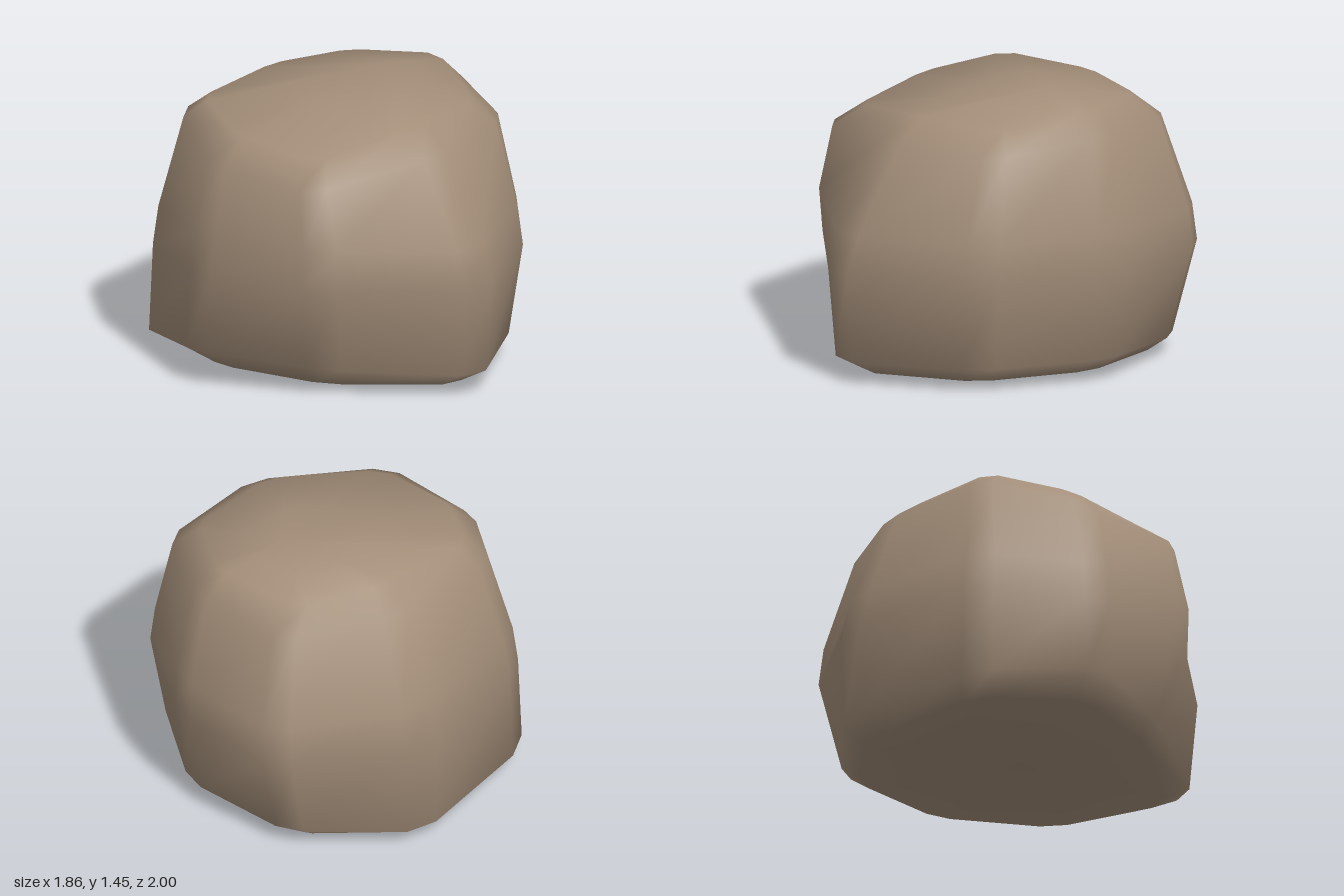
import * as THREE from 'three';

// Eight [x, y, z] corners per level, from the back round by +x to the front and -x
const LEVELS = [
  [[.05, 0, -.9], [.56, .02, -.64], [.75, .04, -.08], [.55, .04, .5], [.02, .03, .84], [-.52, .05, .43], [-.78, .08, -.08], [-.6, .05, -.62]],
  [[.05, .08, -1.03], [.66, .1, -.69], [.88, .13, -.09], [.64, .13, .56], [.03, .12, 1.02], [-.58, .15, .47], [-.96, .2, -.09], [-.75, .12, -.71]],
  [[.04, .6, -1.03], [.79, .6, -.77], [.945, .6, -.09], [.715, .6, .595], [.03, .6, 1.055], [-.68, .6, .55], [-.94, .6, -.09], [-.74, .6, -.69]],
  [[.04, .8, -.97], [.78, .8, -.75], [.935, .8, -.09], [.7, .8, .57], [.03, .78, .98], [-.7, .83, .57], [-.91, .8, -.09], [-.72, .8, -.67]],
  [[.05, 1.28, -.77], [.66, 1.27, -.64], [.84, 1.3, -.1], [.65, 1.23, .48], [.03, 1.22, .69], [-.69, 1.13, .52], [-.82, 1.16, -.1], [-.6, 1.28, -.6]],
  [[.05, 1.385, -.62], [.51, 1.375, -.55], [.72, 1.42, -.1], [.53, 1.33, .39], [.03, 1.34, .52], [-.57, 1.24, .39], [-.67, 1.3, -.1], [-.52, 1.365, -.51]],
];
const BOTTOM = new THREE.Vector3(0, .04, 0);
const TOP = new THREE.Vector3(.33, 1.45, -.1);
const CENTRE = new THREE.Vector3(0, .65, 0);

// Cut every corner of a level into two points
function chamfer(level, cut = .12) {
  const p = level.map(c => new THREE.Vector3(...c));
  const n = p.length;
  return p.flatMap((v, i) => [
    v.clone().lerp(p[(i + n - 1) % n], cut),
    v.clone().lerp(p[(i + 1) % n], cut),
  ]);
}

function rockGeometry() {
  const rings = LEVELS.map(l => chamfer(l));
  // Extra ring part-way up the crown
  rings.push(rings[rings.length - 1].map(v => v.clone().lerp(TOP, .5)));
  const n = rings[0].length;
  const points = [...rings.flat(), BOTTOM, TOP];
  const bottom = points.length - 2, top = points.length - 1;
  const last = (rings.length - 1) * n;
  const index = [];
  for (let j = 0; j < n; j++) {
    const k = (j + 1) % n;
    for (let r = 0; r < last; r += n) {
      index.push(r + j, r + n + j, r + k, r + k, r + n + j, r + n + k);
    }
    index.push(bottom, j, k, top, last + k, last + j);
  }
  const geometry = new THREE.BufferGeometry().setFromPoints(points);
  geometry.setIndex(index);
  geometry.computeVertexNormals();
  // Lean the normals outward from the centre for a softly worn surface
  const normal = geometry.attributes.normal;
  points.forEach((p, i) => {
    const out = p.clone().sub(CENTRE).normalize();
    const v = new THREE.Vector3().fromBufferAttribute(normal, i).lerp(out, .4).normalize();
    normal.setXYZ(i, v.x, v.y, v.z);
  });
  return geometry;
}

export function createModel() {
  const group = new THREE.Group();
  const rock = new THREE.Mesh(rockGeometry(), new THREE.MeshStandardMaterial({ color: 0xa28d78 }));
  rock.name = 'rock';
  group.add(rock);
  return group;
}
